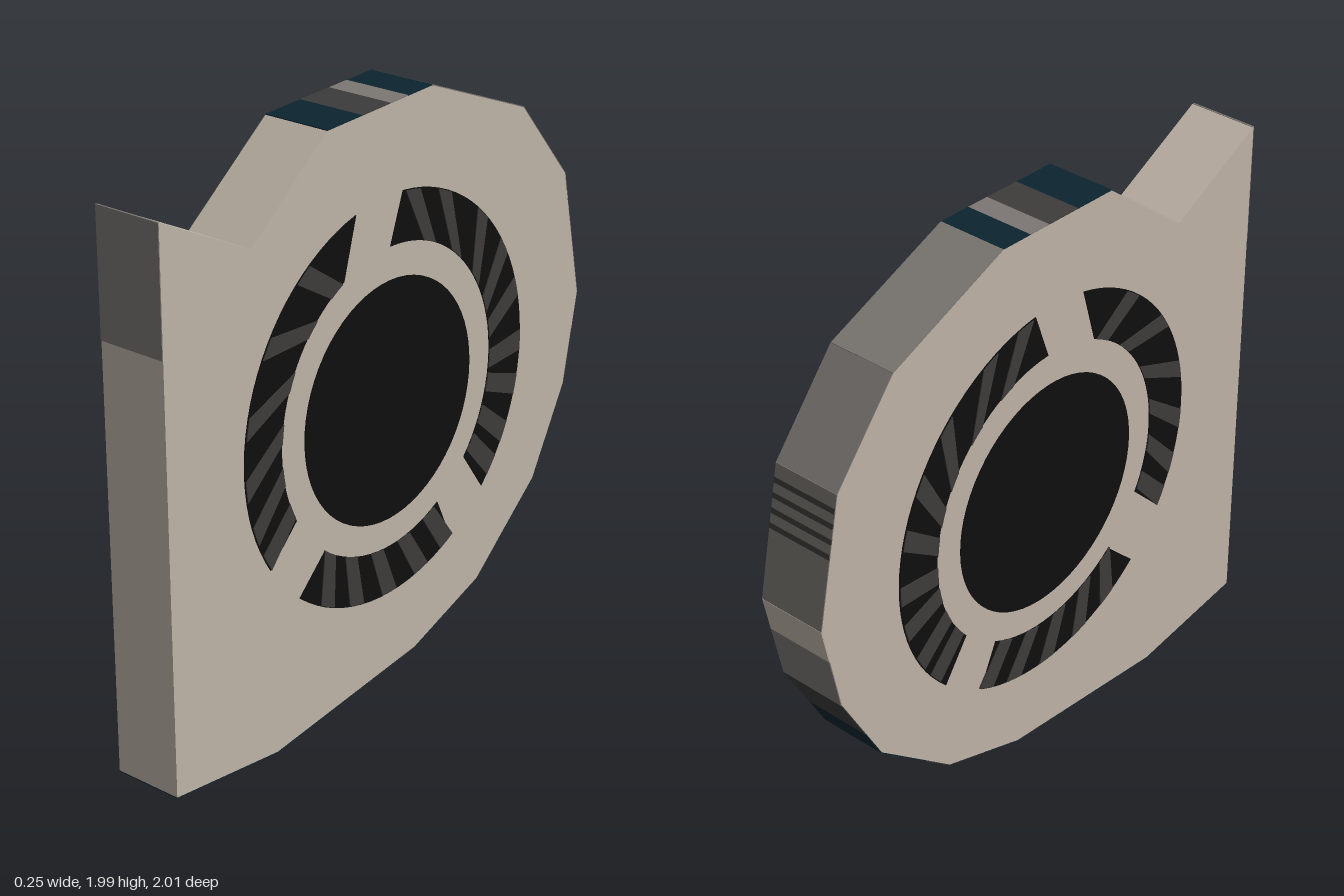
import * as THREE from 'three';

const paint = (name, color) => {
  const m = new THREE.MeshStandardMaterial({ color });
  m.name = name;
  return m;
};

export function createModel() {
  const model = new THREE.Group();
  model.name = 'fanHousing';
  const beige = paint('beige', 0xbfb4a8);
  const grey = paint('grey', 0x7c7773);
  const dark = paint('darkGrey', 0x3d3c3b);
  const black = paint('black', 0x0e0e0e);
  const teal = paint('darkTeal', 0x0c2530);
  const WIDTH = 0.24, CY = 1.02, R_IN = 0.51, R_OUT = 0.677;

  // Side profile drawn as (z, y), extruded across x and centred
  function slab(name, shape, width, material) {
    const g = new THREE.ExtrudeGeometry(shape, { depth: width, bevelEnabled: false, curveSegments: 32 });
    g.translate(0, 0, -width / 2).rotateY(-Math.PI / 2);
    const mesh = new THREE.Mesh(g, material);
    mesh.name = name;
    model.add(mesh);
  }

  // Housing body
  const outline = [
    [1, 0.06], [1, 1.89], [0.63, 1.705], [0.29, 1.97], [-0.2, 1.99], [-0.67, 1.805], [-0.91, 1.52],
    [-1, 1.08], [-0.935, 0.76], [-0.775, 0.465], [-0.47, 0.205], [-0.14, 0.085], [0.545, 0.005],
  ].map(([z, y]) => new THREE.Vector2(z, y));
  slab('housing', new THREE.Shape(outline), WIDTH, beige);

  // Central opening
  slab('hub', new THREE.Shape().absarc(0, CY - 0.005, 0.405, 0, Math.PI * 2), WIDTH + 0.006, black);

  // Ring section between angles in degrees, measured looking at the right side;
  // inner and outer ends may differ, which slants the piece
  function ringPiece(in0, in1, out0, out1, rIn = R_IN, rOut = R_OUT) {
    const pts = [];
    const steps = Math.max(2, Math.ceil(Math.abs(out1 - out0) / 4));
    const arc = (r, a, b) => {
      for (let i = 0; i <= steps; i++) {
        const t = THREE.MathUtils.degToRad(a + (b - a) * i / steps);
        pts.push(new THREE.Vector2(-r * Math.cos(t), CY + r * Math.sin(t)));
      }
    };
    arc(rIn, in0, in1);
    arc(rOut, out1, out0);
    return new THREE.Shape(pts);
  }

  // Three curved vents: inner start, end, outer start, end; then slats as [inner, outer] angles
  const vents = [
    { ends: [-41, 90, -44.5, 85], slats: [[68, 81], [50, 67], [33, 47], [20, 31], [9, 16], [-3, -1], [-12, -14], [-24, -28], [-35, -38]] },
    { ends: [115.5, 209, 104, 213], slats: [[120, 127], [136, 148], [155, 169], [173, 186], [189, 200], [204, 210]] },
    { ends: [232, 299, 230, 298], slats: [[235, 243], [248, 256], [263, 270], [278, 284], [293, 296]] },
  ];
  for (const { ends, slats } of vents) {
    slab('vent', ringPiece(...ends), WIDTH + 0.006, black);
    for (const [a, b] of slats) {
      slab('slat', ringPiece(a - 3.5, a + 3.5, b - 3, b + 3, R_IN, R_OUT - 0.003), WIDTH + 0.012, dark);
    }
  }

  // Painted rim bands: outline edge, start and end fraction along it, colour
  const bands = [
    [0, 0.776, 1, grey],
    [3, 0, 0.32, teal], [3, 0.32, 0.59, dark], [3, 0.59, 0.76, grey], [3, 0.76, 1, teal],
    [4, 0, 1, grey], [5, 0, 1, grey], [6, 0, 1, grey],
    [7, 0, 0.4, beige], [7, 0.4, 1, grey],
    [8, 0, 0.6, dark], [8, 0.6, 1, teal],
    [9, 0, 0.65, teal], [9, 0.65, 1, dark],
    [10, 0, 0.5, dark], [10, 0.5, 1, teal],
    [11, 0, 0.12, dark], [11, 0.12, 1, teal], [12, 0, 1, teal],
  ];
  // Fine pinstripes
  for (let i = 0; i < 4; i++) {
    bands.push([6, 0.1 + i * 0.11, 0.14 + i * 0.11, dark, 0.01]);
    bands.push([11, 0.14 + i * 0.06, 0.165 + i * 0.06, dark, 0.01]);
  }
  for (const [edge, t0, t1, material, thick = 0.006] of bands) {
    const a = outline[edge], b = outline[(edge + 1) % outline.length];
    const d = b.clone().sub(a);
    const mid = a.clone().lerp(b, (t0 + t1) / 2);
    const band = new THREE.Mesh(new THREE.BoxGeometry(WIDTH - 0.001, thick, d.length() * (t1 - t0)), material);
    band.position.set(0, mid.y, mid.x);
    band.rotation.x = Math.atan2(-d.y, d.x);
    band.name = 'rimBand';
    model.add(band);
  }
  return model;
}
